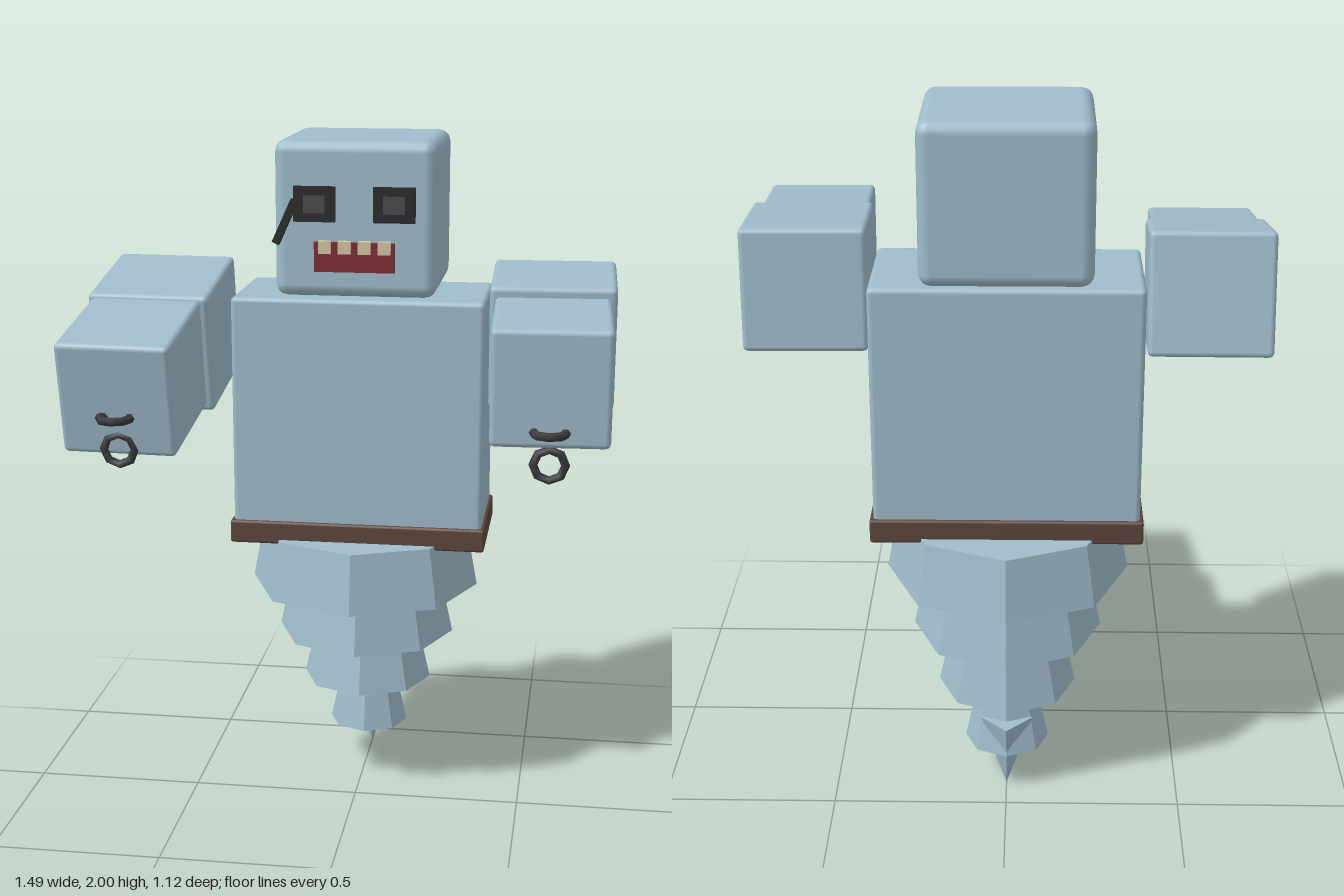
import * as THREE from 'three';
import { RoundedBoxGeometry } from 'three/addons/geometries/RoundedBoxGeometry.js';

const mat = (name, color, flatShading = false) => {
  const m = new THREE.MeshStandardMaterial({ color, flatShading });
  m.name = name;
  return m;
};

export function createModel() {
  const root = new THREE.Group();
  root.name = 'toyFigure';

  const shell = mat('paleBlue', 0x9fbccb);
  const facet = shell.clone();
  facet.flatShading = true;
  const brown = mat('beltBrown', 0x5c463c);
  const black = mat('eyeBlack', 0x29292b);
  const grey = mat('pupilGrey', 0x4a4a4c);
  const iron = mat('darkIron', 0x3c3c40);
  const red = mat('mouthRed', 0x7d2a32);
  const ivory = mat('toothIvory', 0xd2c6a4);

  const add = (name, geometry, material, x, y, z, parent = root) => {
    const mesh = new THREE.Mesh(geometry, material);
    mesh.name = name;
    mesh.position.set(x, y, z);
    parent.add(mesh);
    return mesh;
  };
  const rounded = (w, h, d, r) => new RoundedBoxGeometry(w, h, d, 2, r);
  const box = (w, h, d) => new THREE.BoxGeometry(w, h, d);

  // Head, torso and belt
  add('head', rounded(0.465, 0.445, 0.445, 0.035), shell, 0, 1.778, -0.208);
  add('torso', rounded(0.745, 0.71, 0.37, 0.015), shell, 0, 1.188, -0.208);
  add('belt', rounded(0.765, 0.07, 0.39, 0.008), brown, 0, 0.831, -0.208);

  // Face: eyes, scar bar, mouth and teeth
  const face = new THREE.Group();
  face.name = 'face';
  root.add(face);
  for (const s of [-1, 1]) {
    add('eye', box(0.12, 0.1, 0.016), black, s * 0.114, 1.823, 0.02, face);
    add('pupil', box(0.062, 0.05, 0.008), grey, s * 0.114, 1.823, 0.027, face);
  }
  const scar = add('eyeBar', box(0.022, 0.135, 0.02), black, -0.198, 1.772, 0.022, face);
  scar.rotation.z = -0.43;
  add('mouth', box(0.232, 0.085, 0.014), red, 0, 1.673, 0.016, face);
  for (let i = 0; i < 4; i++) {
    add('tooth', box(0.036, 0.036, 0.026), ivory, -0.084 + i * 0.057, 1.702, 0.024, face);
  }

  // Tapering octagonal tail: top radius, bottom radius, bottom y, top y, z
  const tail = new THREE.Group();
  tail.name = 'tail';
  root.add(tail);
  const segments = [
    [0.317, 0.35, 0.63, 0.81, -0.213],
    [0.235, 0.273, 0.46, 0.635, -0.248],
    [0.16, 0.2, 0.29, 0.465, -0.282],
    [0.085, 0.122, 0.12, 0.295, -0.32],
  ];
  for (const [top, bottom, y0, y1, z] of segments) {
    add('tailSegment', new THREE.CylinderGeometry(top, bottom, y1 - y0, 8), facet, 0, (y0 + y1) / 2, z, tail);
  }

  // Stinger piercing the last segment
  const stinger = new THREE.ConeGeometry(0.075, 0.225, 4).rotateX(Math.PI);
  add('stinger', stinger, facet, 0, 0.1125, -0.395, tail);

  // Arms: each side has its own pitch
  const arms = [
    { side: 1, pitch: 0.068, upper: [1.46, -0.032], fore: [1.427, 0.325] },
    { side: -1, pitch: 0.19, upper: [1.436, -0.04], fore: [1.379, 0.319] },
  ];
  const ring = new THREE.TorusGeometry(0.043, 0.012, 6, 8);
  for (const { side, pitch, upper, fore } of arms) {
    const arm = new THREE.Group();
    arm.name = side > 0 ? 'leftArm' : 'rightArm';
    root.add(arm);
    const upperArm = add('upperArm', rounded(0.35, 0.35, 0.355, 0.015), shell, side * 0.567, ...upper, arm);
    upperArm.rotation.set(pitch, side * 0.022, 0);
    const forearm = add('forearm', rounded(0.318, 0.32, 0.357, 0.015), shell, side * 0.577, ...fore, arm);
    forearm.rotation.set(pitch, side * 0.032, 0);
    // Iron rings at the hand
    const flatRing = add('handRing', ring, iron, side * 0.582, 1.301, 0.502, arm);
    flatRing.rotation.x = Math.PI / 2;
    const hangingRing = add('hangingRing', ring, iron, side * 0.582, 1.206, 0.467, arm);
    hangingRing.rotation.x = 0.08;
  }

  return root;
}
